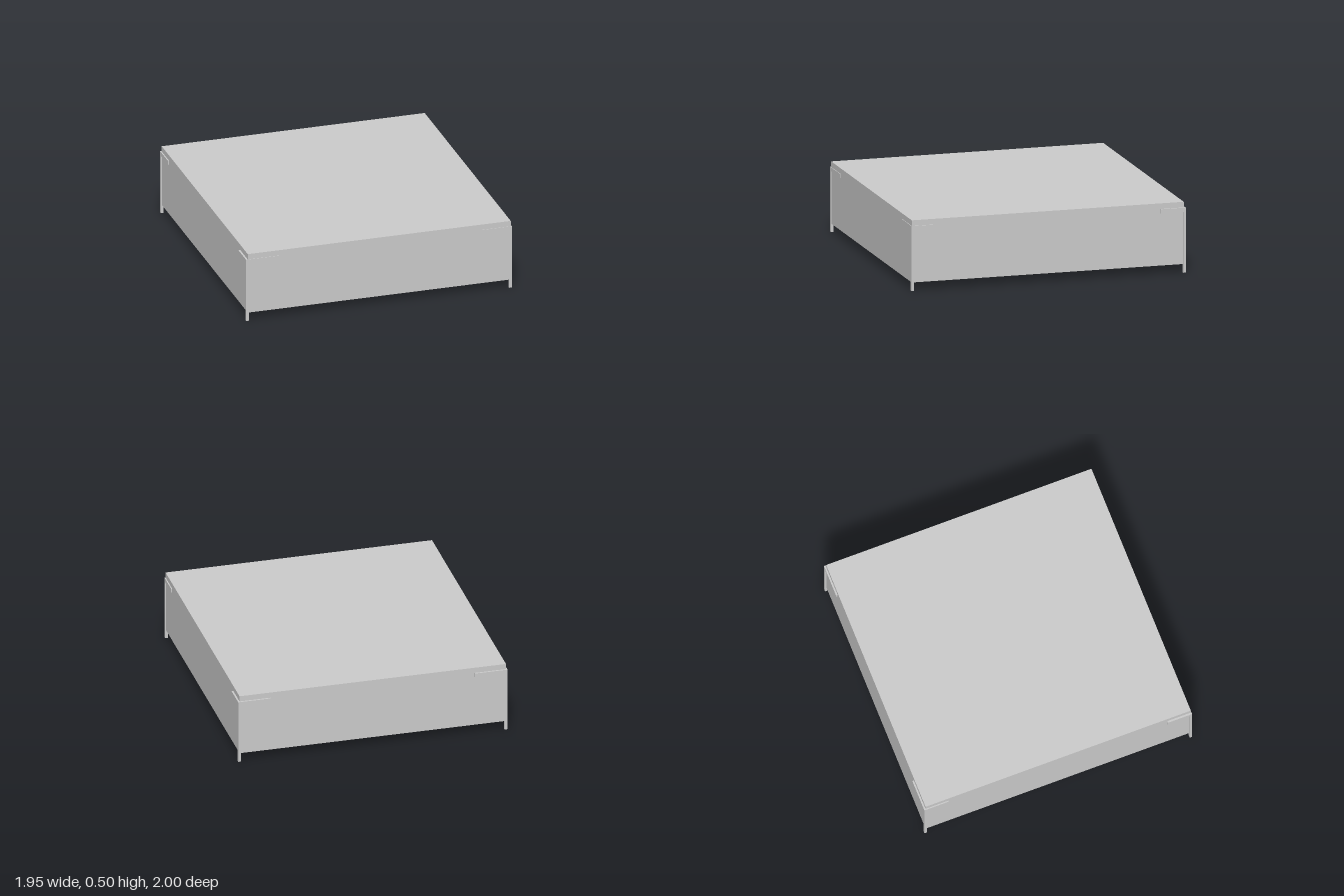
import * as THREE from 'three';

export function createModel() {
  const model = new THREE.Group();
  const material = new THREE.MeshStandardMaterial({ color: 0xcccccc });
  const sheet = new THREE.MeshStandardMaterial({ color: 0xcccccc, side: THREE.DoubleSide });

  // Box from its lower and upper corners
  const addBox = (parent, name, x0, x1, y0, y1, z0, z1) => {
    const mesh = new THREE.Mesh(
      new THREE.BoxGeometry(Math.abs(x1 - x0), y1 - y0, Math.abs(z1 - z0)), material);
    mesh.position.set((x0 + x1) / 2, (y0 + y1) / 2, (z0 + z1) / 2);
    mesh.name = name;
    parent.add(mesh);
  };

  // Thin-walled cover: a box without its bottom face
  const coverGeometry = new THREE.BoxGeometry(1.925, 0.445, 1.984);
  const index = Array.from(coverGeometry.index.array);
  index.splice(18, 6);
  coverGeometry.setIndex(index);
  coverGeometry.clearGroups();
  const cover = new THREE.Mesh(coverGeometry, sheet);
  cover.name = 'cover';
  cover.position.set(-0.002, 0.2825, 0.004);
  model.add(cover);

  // Four corner posts, each with two short rails that straddle the cover walls
  const thick = 0.021, top = 0.465, railBottom = 0.435;
  const corners = [
    ['frontLeft', 0.968, 1], ['frontRight', -0.978, 1],
    ['backLeft', 0.973, -1], ['backRight', -0.973, -1],
  ];
  for (const [name, x, z] of corners) {
    const sx = Math.sign(x), inX = x - sx * thick, inZ = z - z * 0.018;
    const corner = new THREE.Group();
    corner.name = name + 'Corner';
    addBox(corner, 'leg', inX, x, 0, top, inZ, z);
    addBox(corner, 'crossRail', sx * 0.738, inX, railBottom, top, inZ, z);
    addBox(corner, 'sideRail', inX, x, railBottom, top, z * 0.818, inZ);
    model.add(corner);
  }
  return model;
}
